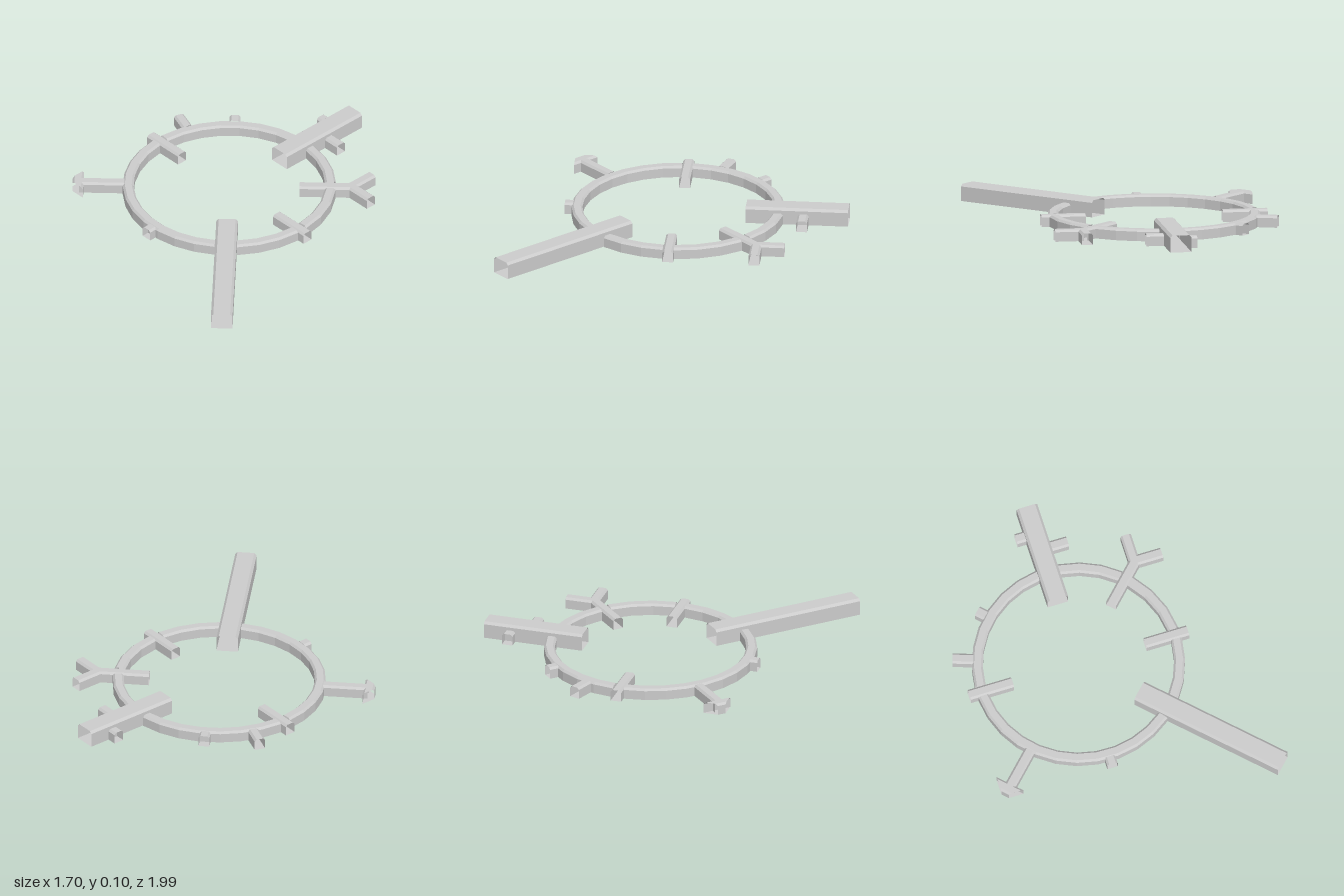
import * as THREE from 'three';

const material = new THREE.MeshStandardMaterial({ color: 0xcccccc, flatShading: true, side: THREE.DoubleSide });
const CX = -0.147, R = 0.59;            // ring centre (x) and centreline radius
const SMALL = { w: 0.064, h: 0.068, c: 0.012 };
const BIG = { w: 0.126, h: 0.1, c: 0.014 };

// Square duct section with bevelled top edges: [lateral, y]
function section({ w, h, c }) {
  const a = w / 2;
  return [[-a, 0], [-a, h - c], [c - a, h], [a - c, h], [a, h - c], [a, 0]];
}

// Open-ended duct swept through stations; place(i, lateral) returns [x, z]
function sweep(name, size, stations, place) {
  const profile = section(size), n = profile.length;
  const pos = [], idx = [];
  for (let i = 0; i < stations; i++) {
    for (const [s, y] of profile) {
      const [x, z] = place(i, s);
      pos.push(x, y, z);
    }
  }
  for (let i = 0; i < stations - 1; i++) {
    for (let j = 0; j < n; j++) {
      const k = (j + 1) % n;
      const a = i * n + j, b = i * n + k, c = b + n, d = a + n;
      idx.push(a, b, c, a, c, d);
    }
  }
  const geo = new THREE.BufferGeometry();
  geo.setAttribute('position', new THREE.Float32BufferAttribute(pos, 3));
  geo.setIndex(idx);
  geo.computeVertexNormals();
  const mesh = new THREE.Mesh(geo, material);
  mesh.name = name;
  return mesh;
}

// Straight duct from (x0,z0) to (x1,z1); skews slant the end cuts
function duct(name, size, [x0, z0], [x1, z1], skew0 = 0, skew1 = 0) {
  const len = Math.hypot(x1 - x0, z1 - z0);
  const dx = (x1 - x0) / len, dz = (z1 - z0) / len;
  return sweep(name, size, 2, (i, s) => {
    const along = i ? len + skew1 * s : skew0 * s;
    return [x0 + dx * along - dz * s, z0 + dz * along + dx * s];
  });
}

// Radial duct between two distances from the ring centre
function spoke(name, size, deg, r0, r1) {
  const a = THREE.MathUtils.degToRad(deg), c = Math.cos(a), s = Math.sin(a);
  return duct(name, size, [CX + c * r0, s * r0], [CX + c * r1, s * r1]);
}

// Curved duct between two angles around the ring centre
function ringArc(a0, a1) {
  const steps = Math.max(2, Math.round((a1 - a0) / (Math.PI / 16)));
  return sweep('ringCorridor', SMALL, steps + 1, (i, s) => {
    const a = a0 + (a1 - a0) * i / steps;
    return [CX + Math.cos(a) * (R - s), Math.sin(a) * (R - s)];
  });
}

export function createModel() {
  const model = new THREE.Group();
  model.name = 'ringComplex';

  // Ring, interrupted where a through passage crosses it
  const crossings = [[0, SMALL], [45, BIG], [180, SMALL], [270, BIG], [315, SMALL], [360, SMALL]];
  const ring = new THREE.Group();
  ring.name = 'ring';
  for (let i = 0; i < crossings.length - 1; i++) {
    const [d0, s0] = crossings[i], [d1, s1] = crossings[i + 1];
    ring.add(ringArc(
      THREE.MathUtils.degToRad(d0) + Math.asin(s0.w / 2 / R),
      THREE.MathUtils.degToRad(d1) - Math.asin(s1.w / 2 / R)));
  }
  model.add(ring);

  // Passages through the ring and short stubs outside it
  model.add(
    spoke('frontHall', BIG, 45, 0.40, 1.343),
    spoke('backHall', BIG, 270, 0.40, 1.0),
    spoke('leftPassage', SMALL, 0, 0.407, 0.667),
    spoke('rightPassage', SMALL, 180, 0.403, 0.667),
    spoke('forkStem', SMALL, 315, 0.41, 0.71),
    spoke('frontStub', SMALL, 90, 0.612, 0.662),
    spoke('backRightStub', SMALL, 226, 0.612, 0.67),
    spoke('rightStub', SMALL, 199.5, 0.612, 0.735),
    spoke('arrowStem', SMALL, 135, 0.612, 0.875));

  // Branches off the back hall and the forked stem
  model.add(
    duct('backHallRightBranch', SMALL, [CX - 0.063, -0.84], [-0.265, -0.84]),
    duct('backHallLeftBranch', SMALL, [CX + 0.063, -0.737], [0.018, -0.737]),
    duct('forkBackBranch', SMALL, [0.352, -0.505], [0.352, -0.67]),
    duct('forkLeftBranch', SMALL, [0.352, -0.505], [0.52, -0.505]));

  // Arrow-shaped crossbar with ends cut along the x and z axes
  model.add(duct('arrowHead', SMALL, [-0.815, 0.58], [-0.735, 0.66], 1, -1));

  return model;
}
